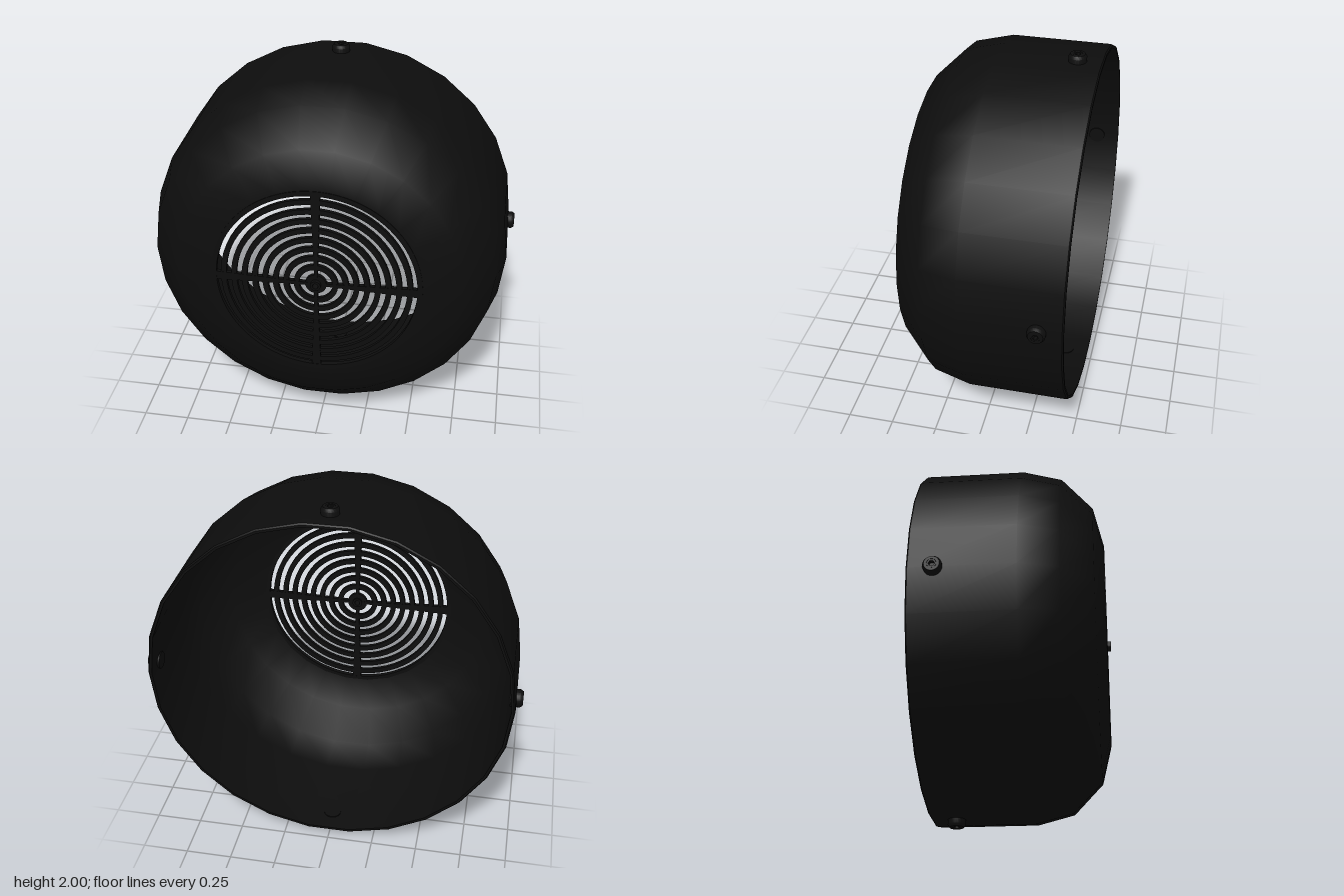
import * as THREE from 'three';
import { toCreasedNormals } from 'three/addons/utils/BufferGeometryUtils.js';

const material = new THREE.MeshStandardMaterial({ color: 0x0d0d0d });

// Closed profile of [radius, z] turned around the z axis.
function turned(name, profile, sides) {
  const points = [...profile, profile[0]].map(([r, z]) => new THREE.Vector2(r, z));
  const lathe = new THREE.LatheGeometry(points, sides, Math.PI / 2).rotateX(Math.PI / 2);
  const mesh = new THREE.Mesh(toCreasedNormals(lathe, 0.6), material);
  mesh.name = name;
  return mesh;
}

const ring = (name, inner, outer, back, front, sides = 64) =>
  turned(name, [[outer, back], [outer, front], [inner, front], [inner, back]], sides);

// Round-headed bolt along +z with a hexagonal socket.
function bolt() {
  const group = new THREE.Group();
  group.name = 'bolt';
  const head = turned('boltHead', [
    [0.047, 0.935], [0.047, 0.985], [0.038, 1], [0.024, 1], [0.024, 0.975], [0.0001, 0.975], [0.0001, 0.935],
  ], 20);
  const socket = ring('boltSocket', 0.016, 0.026, 0.972, 0.999, 6);
  group.add(head, socket);
  return group;
}

export function createModel() {
  const model = new THREE.Group();
  const body = new THREE.Group();
  body.name = 'fanCover';
  body.position.y = 1;
  model.add(body);

  // Hollow faceted shell, open at the back
  body.add(turned('shell', [
    [0.96, -0.48], [0.967, -0.473], [0.967, 0.05], [0.917, 0.25], [0.755, 0.41], [0.56, 0.46],
    [0.545, 0.46], [0.545, 0.44], [0.745, 0.39], [0.9, 0.238], [0.947, 0.047], [0.947, -0.48],
  ], 26));

  // Grille: rim, concentric rings and centre boss
  const grille = new THREE.Group();
  grille.name = 'grille';
  body.add(grille);
  grille.add(ring('grilleRim', 0.528, 0.555, 0.438, 0.463, 96));
  for (let i = 0; i < 8; i++) {
    const r = 0.102 + i * 0.0555;
    grille.add(ring('grilleRing', r - 0.0145, r + 0.0145, 0.44, 0.46));
  }
  grille.add(ring('hub', 0.015, 0.056, 0.44, 0.46, 32));
  grille.add(ring('hubBoss', 0.015, 0.028, 0.43, 0.48, 24));

  // Four spokes, widening outwards
  const outline = new THREE.Shape([
    [0.04, -0.008], [0.54, -0.025], [0.54, 0.025], [0.04, 0.008],
  ].map(([x, y]) => new THREE.Vector2(x, y)));
  const spokeGeometry = new THREE.ExtrudeGeometry(outline, { depth: 0.022, bevelEnabled: false });
  for (let i = 0; i < 4; i++) {
    const spoke = new THREE.Mesh(spokeGeometry, material);
    spoke.name = 'spoke';
    spoke.position.z = 0.439;
    spoke.rotation.z = i * Math.PI / 2;
    grille.add(spoke);
  }

  // Four mounting bolts around the rear rim
  for (let i = 0; i < 4; i++) {
    const arm = new THREE.Group();
    arm.name = 'mountingBolt';
    const b = bolt();
    b.rotation.y = Math.PI / 2;
    arm.add(b);
    arm.position.z = -0.35;
    arm.rotation.z = i * Math.PI / 2;
    body.add(arm);
  }
  return model;
}
